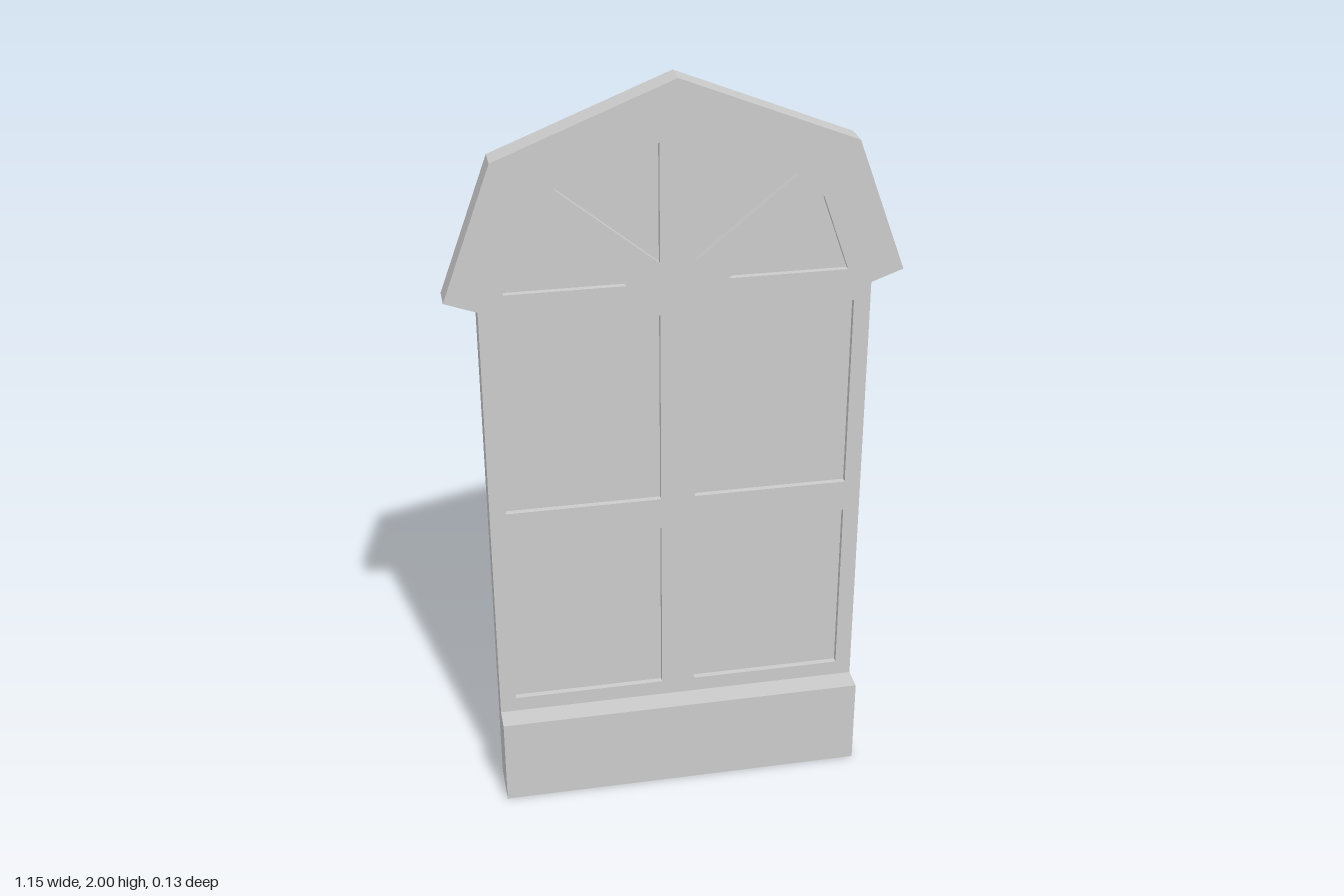
import * as THREE from 'three';

const BACK = -0.067, FACE = 0.002, PANE = -0.014, SILL = 0.067;
const HALF = 0.495, SILL_TOP = 0.249;

const material = new THREE.MeshStandardMaterial({
  color: 0xcccccc, side: THREE.DoubleSide, flatShading: true,
});

const toVectors = (points) => points.map(([x, y]) => new THREE.Vector2(x, y));
const mirror = (points) => points.map(([x, y]) => [-x, y]).reverse();

function addMesh(parent, name, geometry) {
  const mesh = new THREE.Mesh(geometry, material);
  mesh.name = name;
  parent.add(mesh);
}

// Flat sheet facing +z, with optional holes
function sheet(points, z, holes = []) {
  const shape = new THREE.Shape(toVectors(points));
  shape.holes = holes.map((h) => new THREE.Path(toVectors(h)));
  return new THREE.ShapeGeometry(shape).translate(0, 0, z);
}

// Walls running along a path between two depths; they face right of the path
function walls(points, z0, z1, closed = false) {
  const pos = [];
  const count = closed ? points.length : points.length - 1;
  for (let i = 0; i < count; i++) {
    const [ax, ay] = points[i];
    const [bx, by] = points[(i + 1) % points.length];
    pos.push(ax, ay, z0, bx, by, z0, bx, by, z1);
    pos.push(ax, ay, z0, bx, by, z1, ax, ay, z1);
  }
  const geometry = new THREE.BufferGeometry();
  geometry.setAttribute('position', new THREE.Float32BufferAttribute(pos, 3));
  geometry.computeVertexNormals();
  return geometry;
}

export function createModel() {
  const model = new THREE.Group();
  model.name = 'archedWindow';

  // Open-backed frame, counter-clockwise from the lower right
  const rightSide = [[HALF, SILL_TOP], [HALF, 1.447], [0.577, 1.477], [0.449, 1.822]];
  const outline = [...rightSide, [0, 2], ...mirror(rightSide)];

  // Pane openings of one half, clockwise
  const rect = (x0, x1, y0, y1) => [[x0, y0], [x0, y1], [x1, y1], [x1, y0]];
  const openings = {
    lowerPane: rect(0.045, 0.452, 0.291, 0.788),
    upperPane: rect(0.045, 0.452, 0.875, 1.402),
    innerFanPane: [[0.045, 1.54], [0.045, 1.847], [0.298, 1.746]],
    outerFanPane: [[0.127, 1.487], [0.363, 1.685], [0.433, 1.487]],
  };

  const holes = [];
  for (const [name, points] of Object.entries(openings)) {
    for (const [side, path] of [['left', points], ['right', mirror(points)]]) {
      holes.push(path);
      const pane = new THREE.Group();
      pane.name = `${side} ${name}`;
      addMesh(pane, 'glass', sheet(path, PANE));
      addMesh(pane, 'reveal', walls(path, PANE, FACE, true));
      model.add(pane);
    }
  }

  addMesh(model, 'frameFace', sheet(outline, FACE, holes));
  addMesh(model, 'frameEdge', walls(outline, BACK, FACE));

  // Hollow sill box, open to the back
  const sill = new THREE.Group();
  sill.name = 'sill';
  const base = [[HALF, SILL_TOP], [-HALF, SILL_TOP], [-HALF, 0], [HALF, 0]];
  addMesh(sill, 'sillFront', sheet(base, SILL));
  addMesh(sill, 'sillTop', walls(base.slice(0, 2), FACE, SILL));
  addMesh(sill, 'sillSidesAndBottom', walls([...base.slice(1), base[0]], BACK, SILL));
  model.add(sill);

  return model;
}
